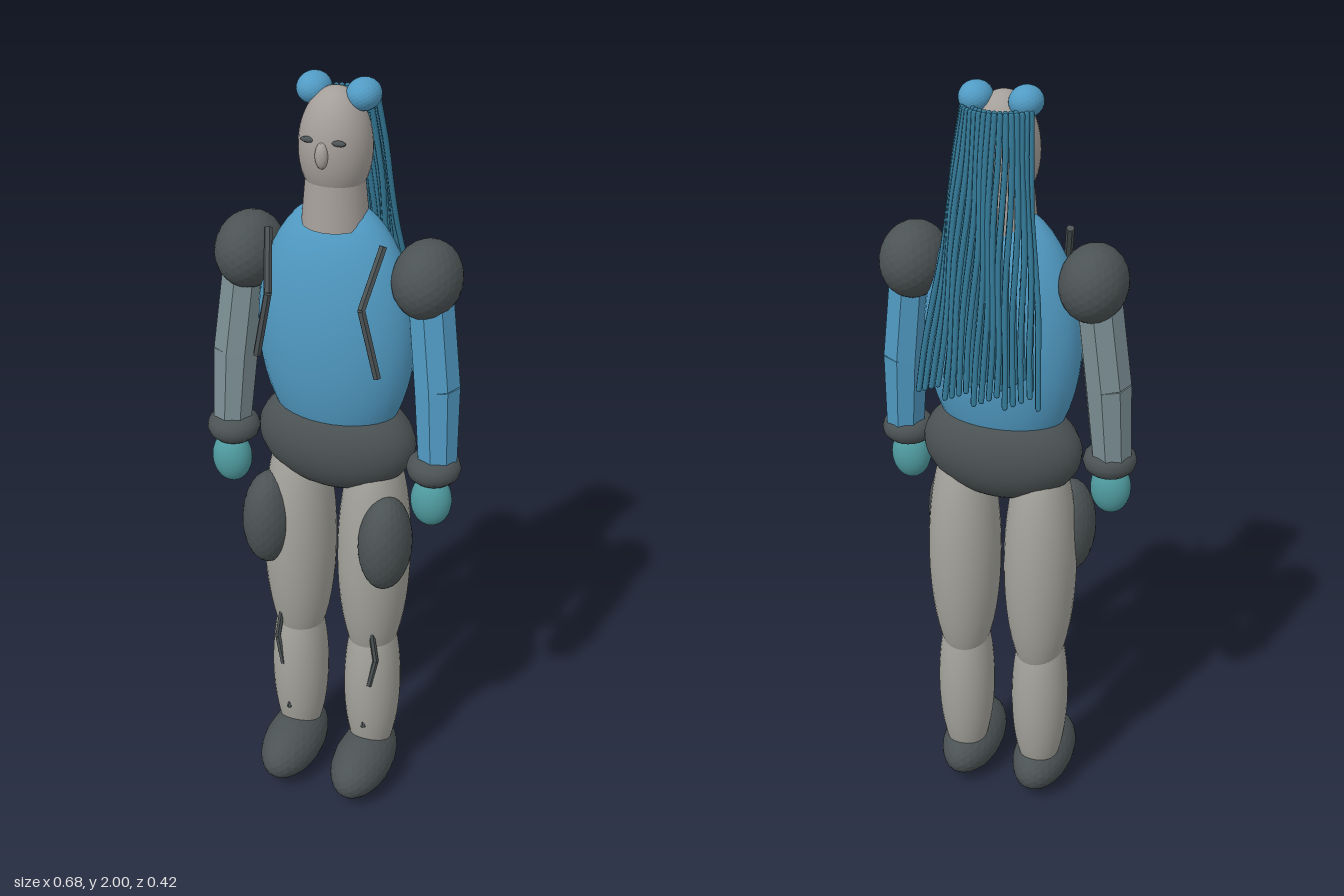
import * as THREE from 'three';

const mat = (name, color) => {
  const m = new THREE.MeshStandardMaterial({ color });
  m.name = name;
  return m;
};

export function createModel() {
  const root = new THREE.Group();
  root.name = 'standingFigure';

  const blue = mat('suitBlue', 0x519bc4);
  const hairBlue = mat('hairBlue', 0x337896);
  const dark = mat('charcoal', 0x4c5355);
  const skin = mat('skin', 0xa59f9a);
  const legGrey = mat('legGrey', 0xa4a39c);
  const armGrey = mat('slateSleeve', 0x7d9096);
  const teal = mat('tealHand', 0x4f9ba0);

  const V = (x, y, z) => new THREE.Vector3(x, y, z);
  const add = (name, geo, material) => {
    const m = new THREE.Mesh(geo, material);
    m.name = name;
    root.add(m);
    return m;
  };
  const flat = (geo) => {
    const g = geo.index ? geo.toNonIndexed() : geo;
    g.computeVertexNormals();
    return g;
  };
  // Smooth ellipsoid
  const oval = (name, material, pos, radii) => {
    const g = new THREE.SphereGeometry(1, 32, 24).scale(...radii).translate(...pos);
    return add(name, g, material);
  };
  // Faceted ellipsoid
  const facetOval = (name, material, pos, radii, detail = 4) => {
    const g = new THREE.IcosahedronGeometry(1, detail).scale(...radii).translate(...pos);
    return add(name, flat(g), material);
  };
  // Faceted rod from a to b
  const rod = (name, material, a, b, ra, rb, sides) => {
    const dir = b.clone().sub(a);
    const g = flat(new THREE.CylinderGeometry(rb, ra, dir.length(), sides));
    const m = add(name, g, material);
    m.position.copy(a).add(b).multiplyScalar(0.5);
    m.quaternion.setFromUnitVectors(V(0, 1, 0), dir.normalize());
    return m;
  };

  // Trunk
  oval('torso', blue, [0, 1.38, 0.003], [0.2, 0.34, 0.122]);
  oval('pelvis', dark, [0, 1.08, 0], [0.207, 0.14, 0.12]);

  // Neck and head
  add('neck', new THREE.CylinderGeometry(0.07, 0.08, 0.11, 24).translate(0, 1.715, 0.01), skin);
  oval('head', skin, [0, 1.842, 0.008], [0.086, 0.138, 0.085]);
  facetOval('nose', skin, [0, 1.845, 0.09], [0.016, 0.031, 0.015], 2);

  for (const s of [-1, 1]) {
    const side = s > 0 ? 'left' : 'right';
    const sleeve = s > 0 ? blue : armGrey;

    // Face and hair buns
    facetOval(side + 'Eye', dark, [s * 0.037, 1.876, 0.082], [0.018, 0.007, 0.008], 2);
    facetOval(side + 'Bun', blue, [s * 0.06, 1.963, -0.011], [0.04, 0.037, 0.046]);

    // Arm
    facetOval(side + 'Shoulder', dark, [s * 0.226, 1.547, 0], [0.082, 0.094, 0.103]);
    const elbow = V(s * 0.264, 1.285, 0.017);
    rod(side + 'UpperArm', sleeve, V(s * 0.235, 1.53, 0.005), elbow, 0.057, 0.059, 8);
    rod(side + 'Forearm', sleeve, elbow, V(s * 0.277, 1.06, 0.03), 0.059, 0.05, 8);
    const cuff = new THREE.TorusGeometry(0.034, 0.034, 12, 20).rotateX(Math.PI / 2);
    add(side + 'Cuff', cuff.translate(s * 0.27, 1.066, 0.036), dark);
    oval(side + 'Hand', teal, [s * 0.271, 0.98, 0.05], [0.052, 0.07, 0.046]);

    // Leg
    oval(side + 'Thigh', legGrey, [s * 0.104, 0.75, 0], [0.094, 0.37, 0.107]);
    oval(side + 'Shin', legGrey, [s * 0.106, 0.325, 0.005], [0.076, 0.28, 0.084]);
    facetOval(side + 'Foot', dark, [s * 0.105, 0.083, 0.058], [0.08, 0.083, 0.15]);
    facetOval(side + 'ThighPad', dark, [s * 0.16, 0.833, 0.07], [0.067, 0.133, 0.084]);

    // Bent chest strap
    const bend = V(s * 0.117, 1.51, 0.14);
    rod(side + 'UpperStrap', dark, V(s * 0.143, 1.645, 0.073), bend, 0.01, 0.01, 6);
    rod(side + 'LowerStrap', dark, bend, V(s * 0.154, 1.337, 0.13), 0.01, 0.01, 6);

    // Knee strap, mostly sunk into the leg
    const knee = V(s * 0.142, 0.45, 0.077);
    rod(side + 'UpperKneeStrap', dark, V(s * 0.127, 0.55, 0.075), knee, 0.008, 0.008, 6);
    rod(side + 'LowerKneeStrap', dark, knee, V(s * 0.126, 0.365, 0.081), 0.008, 0.008, 6);
    rod(side + 'ShinSpike', dark, V(s * 0.11, 0.215, 0.081), V(s * 0.11, 0.245, 0.079), 0.008, 0.002, 6);
  }

  // Hair: two fans of wavy strands falling from the back of the head
  const rows = [
    { count: 17, start: 0.092, spread: 0.15, endZ: -0.203, low: 1.29 },
    { count: 14, start: 0.074, spread: 0.115, endZ: -0.15, low: 1.31 },
  ];
  rows.forEach((row, r) => {
    for (let i = 0; i < row.count; i++) {
      const a = (i / (row.count - 1)) * 2 - 1;
      const top = V(row.start * Math.sin(a * 1.1), 1.947, -row.start * Math.cos(a * 1.1));
      const end = V(row.spread * a, row.low + 0.03 * ((i * 7) % 4) / 3, row.endZ + 0.028 * a * a);
      const pts = [];
      for (let k = 0; k <= 6; k++) {
        const t = k / 6;
        const p = top.clone().lerp(end, t);
        p.x += 0.007 * Math.sin(t * 6.5 + i * 0.9 + r) * Math.sin(Math.PI * t);
        pts.push(p);
      }
      const curve = new THREE.CatmullRomCurve3(pts);
      add('hairStrand', new THREE.TubeGeometry(curve, 14, 0.0075, 6), hairBlue);
      // Rounded strand ends
      for (const p of [top, end]) {
        add('hairTip', new THREE.SphereGeometry(0.0075, 6, 4).translate(p.x, p.y, p.z), hairBlue);
      }
    }
  });

  return root;
}
